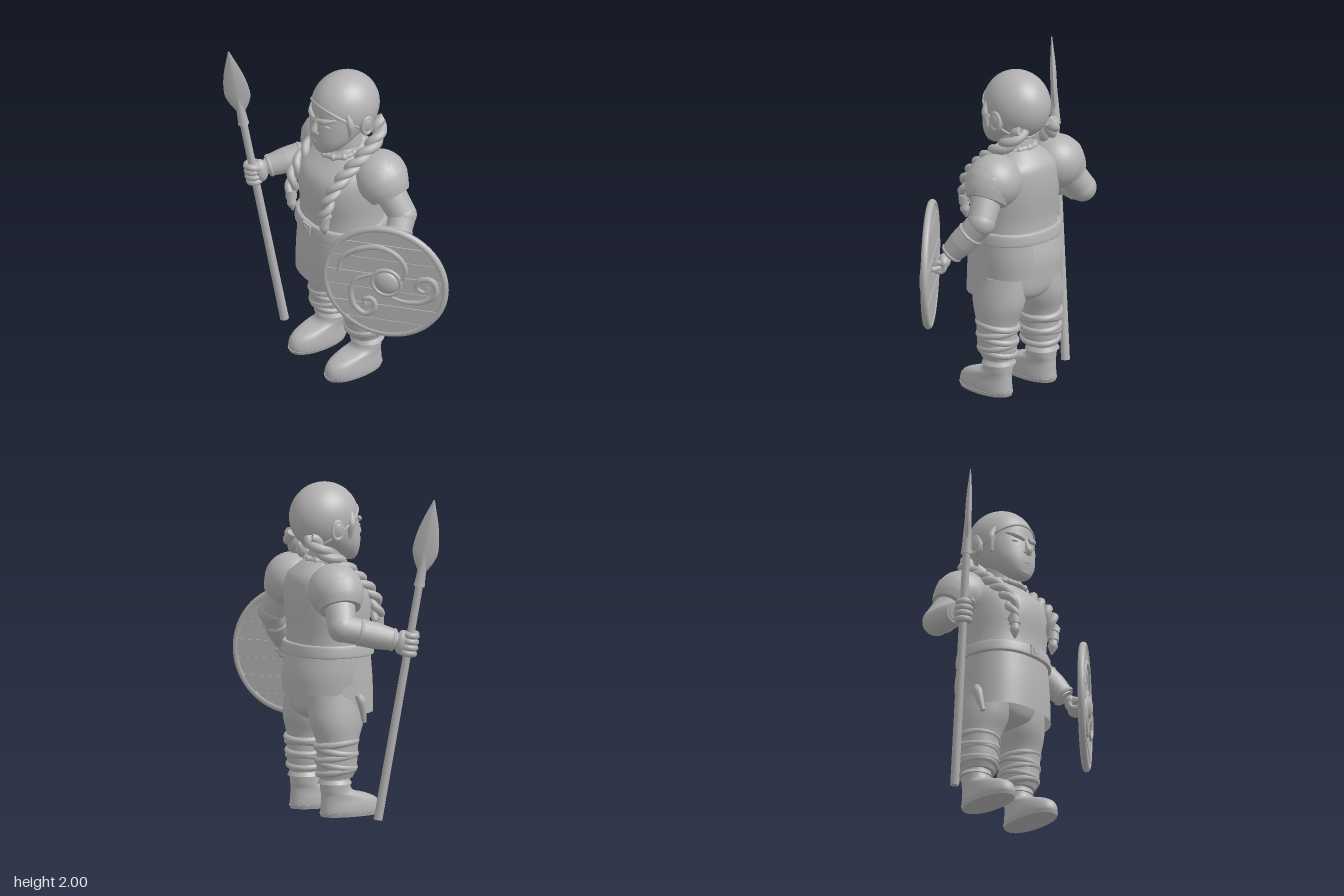
import * as THREE from 'three';

const V = (x, y, z) => new THREE.Vector3(x, y, z);
const stone = new THREE.MeshStandardMaterial({ color: 0xb2b2b2, side: THREE.DoubleSide });
stone.name = 'grey';

function add(parent, name, geo, pos = [0, 0, 0], rot = [0, 0, 0], scale = [1, 1, 1]) {
  const m = new THREE.Mesh(geo, stone);
  m.name = name;
  m.position.set(...pos);
  m.rotation.set(...rot);
  m.scale.set(...scale);
  parent.add(m);
  return m;
}
const ball = (parent, name, pos, scale, rot) =>
  add(parent, name, new THREE.SphereGeometry(1, 28, 20), pos, rot, scale);

// Skin a list of point rows; closed rows get flat end caps
function skin(rows, closed = true) {
  const n = rows[0].length, p = [], idx = [];
  rows.forEach(r => r.forEach(v => p.push(v.x, v.y, v.z)));
  for (let i = 0; i < rows.length - 1; i++)
    for (let j = 0; j < (closed ? n : n - 1); j++) {
      const k = (j + 1) % n, a = i * n + j, b = i * n + k;
      idx.push(a, a + n, b, b, a + n, b + n);
    }
  if (closed) [0, rows.length - 1].forEach(e => {
    const base = p.length / 3, c = V(0, 0, 0);
    rows[e].forEach(v => { c.add(v); p.push(v.x, v.y, v.z); });
    c.divideScalar(n);
    p.push(c.x, c.y, c.z);
    for (let j = 0; j < n; j++) {
      const a = base + j, b = base + (j + 1) % n;
      e ? idx.push(a, base + n, b) : idx.push(a, b, base + n);
    }
  });
  const g = new THREE.BufferGeometry();
  g.setAttribute('position', new THREE.Float32BufferAttribute(p, 3));
  g.setIndex(idx);
  g.computeVertexNormals();
  return g;
}

// Upright loft through rings [cx, y, cz, rx, rz]; pow < 1 squares the section off
function loft(rings, { pow = 1, seg = 36, a0 = 0, a1 = Math.PI * 2, sub = 4 } = {}) {
  const c = new THREE.CatmullRomCurve3(rings.map(r => V(r[0], r[1], r[2])), false, 'catmullrom');
  const s = new THREE.CatmullRomCurve3(rings.map(r => V(r[3], 0, r[4])), false, 'catmullrom');
  const closed = a1 - a0 > 6.28, rows = [], count = (rings.length - 1) * sub;
  const f = v => Math.sign(v) * Math.abs(v) ** pow;
  for (let i = 0; i <= count; i++) {
    const o = c.getPoint(i / count), r = s.getPoint(i / count), row = [];
    for (let j = 0; j < seg + (closed ? 0 : 1); j++) {
      const t = a0 + (a1 - a0) * j / seg;
      row.push(V(o.x + r.x * f(Math.cos(t)), o.y, o.z + r.z * f(Math.sin(t))));
    }
    rows.push(row);
  }
  return skin(rows, closed);
}

// Round sweep along points with radii spread evenly along it
function sweep(pts, radii, steps = 24, seg = 16) {
  const c = new THREE.CatmullRomCurve3(pts.map(p => V(...p)));
  const fr = c.computeFrenetFrames(steps), rows = [], last = radii.length - 1;
  for (let i = 0; i <= steps; i++) {
    const u = c.getUtoTmapping(i / steps), o = c.getPoint(u);
    const k = Math.min(last - 1, Math.floor(u * last));
    const r = THREE.MathUtils.lerp(radii[k], radii[k + 1], u * last - k);
    rows.push(Array.from({ length: seg }, (_, j) => {
      const t = j / seg * Math.PI * 2;
      return o.clone().addScaledVector(fr.normals[i], r * Math.cos(t)).addScaledVector(fr.binormals[i], -r * Math.sin(t));
    }));
  }
  return skin(rows);
}

function buildHead(b) {
  add(b, 'head', loft([[0, 1.525, .085, .05, .045], [0, 1.555, .06, .095, .085], [0, 1.62, .02, .142, .135],
    [0, 1.7, -.03, .168, .182], [0, 1.78, -.055, .175, .195], [0, 1.86, -.065, .168, .195], [0, 1.93, -.07, .12, .14]], { pow: .95 }));
  const cap = new THREE.SphereGeometry(1, 40, 24, 0, Math.PI * 2, 0, 1.9).rotateX(-.65);
  add(b, 'cap', cap, [0, 1.79, -.07], [0, 0, 0], [.192, .21, .215]);
  add(b, 'capRim', new THREE.TorusGeometry(.196, .009, 10, 44), [0, 1.733, -.028], [Math.PI / 2 - .65, 0, 0], [.93, 1.02, 1]);
  // face
  add(b, 'nose', sweep([[0, 1.77, .13], [0, 1.72, .15], [0, 1.685, .16], [0, 1.662, .14]], [.012, .018, .025, .015]));
  ball(b, 'upperLip', [0, 1.607, .143], [.04, .008, .014]);
  ball(b, 'lowerLip', [0, 1.592, .138], [.032, .009, .014]);
  ball(b, 'chin', [0, 1.553, .115], [.05, .028, .03]);
  for (const s of [-1, 1]) {
    ball(b, 'nostril', [.021 * s, 1.672, .145], [.015, .013, .017]);
    ball(b, 'eye', [.07 * s, 1.735, .117], [.03, .012, .02]);
    add(b, 'brow', sweep([[.018 * s, 1.757, .145], [.07 * s, 1.772, .133], [.125 * s, 1.79, .088]], [.014, .017, .008]));
    ball(b, 'ear', [.19 * s, 1.725, -.085], [.026, .06, .045], [0, 0, -.2 * s]);
    add(b, 'earRim', new THREE.TorusGeometry(.04, .012, 8, 24), [.2 * s, 1.73, -.088], [0, Math.PI / 2, 0], [.9, 1.3, 1]);
    add(b, 'sideLock', sweep([[.155 * s, 1.83, .03], [.178 * s, 1.76, .02], [.17 * s, 1.67, .015]], [.012, .024, .012]));
  }
}

// Two strands wound round the braid's path, with a tied tail
function buildBraid(b, s) {
  const g = new THREE.Group();
  g.name = 'braid';
  b.add(g);
  const path = new THREE.CatmullRomCurve3([[.12, 1.69, -.235], [.18, 1.61, -.18], [.2, 1.53, -.065], [.19, 1.43, .06],
    [.18, 1.3, .175], [.172, 1.17, .207]].map(p => V(p[0] * s, p[1], p[2])));
  for (let k = 0; k < 2; k++) {
    const pts = [];
    for (let i = 0; i <= 60; i++) {
      const o = path.getPointAt(i / 60), a = s * i / 60 * 24 + k * Math.PI;
      pts.push([o.x + .021 * Math.cos(a), o.y + .009 * Math.sin(a), o.z + .02 * Math.sin(a)]);
    }
    add(g, 'strand', sweep(pts, [.03, .028, .023], 100, 10));
  }
  add(g, 'braidTie', sweep([[.172 * s, 1.185, .207], [.168 * s, 1.13, .207]], [.033, .035], 4));
  add(g, 'braidTail', sweep([[.169 * s, 1.14, .207], [.166 * s, 1.09, .205], [.16 * s, 1.04, .2]], [.022, .031, .006], 8));
}

function buildBody(b) {
  add(b, 'tunic', loft([[0, .97, -.045, .27, .235], [0, 1.1, -.045, .265, .23], [0, 1.25, -.045, .275, .245],
    [0, 1.36, -.055, .27, .235], [0, 1.44, -.085, .235, .19], [0, 1.5, -.09, .15, .135], [0, 1.53, -.08, .115, .11]], { pow: .88 }));
  add(b, 'neck', loft([[0, 1.44, -.07, .11, .11], [0, 1.62, -.05, .1, .1]]));
  // beaded neck ring
  add(b, 'neckRing', new THREE.TorusGeometry(.125, .018, 10, 40), [0, 1.51, -.045], [Math.PI / 2 + .2, 0, 0]);
  for (let i = 0; i < 12; i++) {
    const a = i / 12 * Math.PI * 2;
    ball(b, 'neckBead', [.125 * Math.cos(a), 1.51 - .026 * Math.sin(a), -.045 + .125 * Math.sin(a)], [.023, .022, .023]);
  }
  // belt and buckle
  add(b, 'belt', loft([[0, .965, -.045, .285, .255], [0, .975, -.045, .292, .262], [0, 1.03, -.045, .285, .255], [0, 1.04, -.045, .275, .245]], { pow: .88 }));
  add(b, 'buckle', new THREE.BoxGeometry(.075, .065, .025), [0, 1.002, .208]);
  add(b, 'bucklePin', new THREE.BoxGeometry(.035, .035, .03), [0, 1.002, .21]);
  // split skirt: long front, shorter back in two flaps
  add(b, 'frontSkirt', loft([[0, .62, -.03, .285, .235], [0, .8, -.035, .277, .24], [0, .98, -.045, .268, .238]], { pow: .85, a0: -.2, a1: Math.PI + .2 }));
  add(b, 'backSkirt', loft([[0, .74, -.05, .272, .268], [0, .86, -.05, .28, .268], [0, .98, -.045, .275, .245]], { pow: .85, a0: Math.PI - .05, a1: Math.PI * 1.58 }));
  add(b, 'backFlap', loft([[0, .75, -.045, .265, .255], [0, .86, -.045, .272, .255], [0, .98, -.045, .27, .24]], { pow: .85, a0: Math.PI * 1.5, a1: Math.PI * 2.02 }));
  add(b, 'sheath', sweep([[-.285, .74, 0], [-.29, .7, .02], [-.28, .57, .05]], [.02, .028, .014]));
  add(b, 'hips', loft([[0, .565, -.07, .03, .09], [0, .6, -.07, .16, .16], [0, .65, -.07, .24, .19], [0, .75, -.06, .26, .205], [0, .95, -.05, .25, .21]]));
  for (const s of [-1, 1]) {
    add(b, 'trouserLeg', loft([[.178 * s, .235, -.09, .098, .103], [.18 * s, .3, -.085, .116, .122], [.178 * s, .45, -.08, .122, .13],
      [.158 * s, .58, -.075, .144, .172], [.14 * s, .75, -.06, .135, .18]]));
    for (let i = 0; i < 5; i++)
      add(b, 'trouserFold', new THREE.TorusGeometry(.095 + .003 * i, .029, 10, 32), [.179 * s, .27 + .042 * i, -.087],
        [Math.PI / 2 + (i % 2 ? .13 : -.1), (i % 2 ? -.1 : .12) * s, 0], [1, 1.05, .8]);
    // boot
    add(b, 'boot', loft([[.185 * s, 0, .005, .08, .175], [.185 * s, .02, .005, .096, .195], [.185 * s, .06, .005, .096, .193], [.185 * s, .1, -.008, .09, .178],
      [.185 * s, .13, -.042, .086, .142], [.183 * s, .16, -.09, .083, .096], [.182 * s, .24, -.1, .086, .09]], { pow: .9 }));
    add(b, 'bootSole', loft([[.185 * s, 0, .005, .094, .192], [.185 * s, .022, .005, .1, .2]], { pow: .9, sub: 1 }));
    add(b, 'bootCuff', loft([[.182 * s, .2, -.1, .104, .104], [.182 * s, .225, -.1, .088, .092]]));
    // puffed sleeve
    ball(b, 'shoulder', [.262 * s, 1.38, -.14], [.17, .165, .165]);
    add(b, 'sleeve', sweep([[.22 * s, 1.43, -.135], [.29 * s, 1.365, -.14], [.345 * s, 1.28, -.155]], [.135, .158, .16, .146, .125]));
    buildBraid(b, s);
  }
}

// Arm from shoulder to wrist with a bracer over the forearm
function buildArm(root, name, shoulder, elbow, wrist) {
  const g = new THREE.Group();
  g.name = name;
  root.add(g);
  const mid = t => elbow.map((e, i) => e + (wrist[i] - e) * t);
  add(g, 'upperArm', sweep([shoulder, elbow], [.1, .085], 8));
  ball(g, 'elbow', elbow, [.086, .086, .086]);
  add(g, 'forearm', sweep([elbow, mid(.5), wrist], [.084, .076, .05]));
  add(g, 'bracer', sweep([mid(.32), mid(.62), mid(.95)], [.083, .081, .066]));
  for (const t of [.34, .93]) add(g, 'bracerBand', sweep([mid(t - .04), mid(t), mid(t + .04)], t < .5 ? [.08, .088, .08] : [.065, .073, .065], 6));
}

function buildSpear(root) {
  const g = new THREE.Group();
  g.name = 'spear';
  g.position.set(-.596, .01, .02);
  g.quaternion.setFromUnitVectors(V(0, 1, 0), V(-.088, 1, .15).normalize());
  root.add(g);
  add(g, 'shaft', new THREE.CylinderGeometry(.023, .027, 1.5, 18), [0, .75, 0]);
  add(g, 'socket', loft([[0, 1.44, 0, .034, .034], [0, 1.48, 0, .03, .03], [0, 1.62, 0, .022, .022], [0, 1.75, 0, .012, .014]], { seg: 16 }));
  add(g, 'blade', loft([[0, 1.53, 0, .026, .016], [0, 1.6, 0, .064, .02], [0, 1.67, 0, .08, .02], [0, 1.8, 0, .06, .017], [0, 1.97, 0, .004, .003]],
    { pow: 1.5, seg: 24 }), [0, 0, 0], [0, Math.PI / 4, 0]);
  // closed hand on the shaft
  const h = new THREE.Group();
  h.name = 'spearHand';
  h.position.y = 1.085;
  g.add(h);
  for (let i = 0; i < 4; i++)
    add(h, 'finger', new THREE.TorusGeometry(.036 - .002 * Math.abs(i - 2), .021, 10, 24), [0, .052 - .036 * i, .004], [Math.PI / 2, 0, 0]);
  ball(h, 'palm', [.024, 0, -.035], [.045, .076, .05], [0, .6, 0]);
  add(h, 'thumb', sweep([[.042, .03, -.03], [.042, .06, .03], [0, .065, .05]], [.022, .021, .014], 10));
}

function buildShield(root) {
  const g = new THREE.Group(), R = .375;
  g.name = 'shield';
  g.position.set(.497, .885, .065);
  g.rotation.y = .69;
  root.add(g);
  add(g, 'core', new THREE.CylinderGeometry(R, R, .024, 48).rotateX(Math.PI / 2));
  // planks clipped to the circle
  for (let i = 0; i < 7; i++) {
    const y0 = -R + i * 2 * R / 7 + .003, y1 = y0 + 2 * R / 7 - .006, pts = [];
    for (let k = 0; k <= 8; k++) {
      const y = y0 + (y1 - y0) * k / 8, x = Math.sqrt(Math.max(0, R * R - y * y));
      pts.push(new THREE.Vector2(x, y));
      pts.unshift(new THREE.Vector2(-x, y));
    }
    const d = .032 + .005 * (i % 2);
    add(g, 'plank', new THREE.ExtrudeGeometry(new THREE.Shape(pts), { depth: d, bevelEnabled: false }), [0, 0, -d / 2]);
  }
  add(g, 'rim', new THREE.TorusGeometry(.37, .022, 12, 72), [0, 0, 0], [0, 0, 0], [1, 1, 1]);
  ball(g, 'boss', [.01, 0, .012], [.078, .078, .036]);
  add(g, 'bossRing', new THREE.TorusGeometry(.088, .014, 10, 40), [.01, 0, .014]);
  // carved swirls
  const swirls = [
    [[.01, -.09], [.12, -.12], [.24, -.1], [.32, -.02], [.29, .06], [.22, .05], [.2, -.01], [.25, -.03], [.27, .01]],
    [[-.07, .05], [-.17, .0], [-.21, -.08], [-.19, -.19], [-.12, -.24], [-.06, -.19], [-.08, -.13], [-.13, -.14], [-.12, -.18]],
    [[-.29, .02], [-.26, .14], [-.15, .22], [-.02, .245], [.09, .19], [.13, .1], [.1, .03]]];
  swirls.forEach(p => add(g, 'swirl', sweep(p.map(q => [q[0], q[1], .012]), [.012, .02, .02, .012], 48, 10)));
  add(g, 'grip', sweep([[-.1, 0, -.015], [-.06, 0, -.06], [.06, 0, -.06], [.1, 0, -.015]], [.016, .016], 20, 10));
  // hand round the grip
  for (let i = 0; i < 4; i++)
    add(g, 'finger', new THREE.TorusGeometry(.028, .018, 10, 20), [-.05 + .033 * i, 0, -.06], [0, Math.PI / 2, 0]);
  ball(g, 'palm', [0, .025, -.085], [.07, .045, .038]);
}

export function createModel() {
  const root = new THREE.Group();
  root.name = 'shieldWarrior';
  const body = new THREE.Group();
  body.name = 'body';
  body.position.x = -.1;
  root.add(body);
  buildHead(body);
  buildBody(body);
  buildArm(root, 'rightArm', [-.4, 1.36, -.14], [-.53, 1.18, -.19], [-.665, 1.1, .11]);
  buildArm(root, 'leftArm', [.2, 1.36, -.14], [.32, 1.17, -.19], [.43, .95, -.03]);
  buildSpear(root);
  buildShield(root);
  return root;
}
